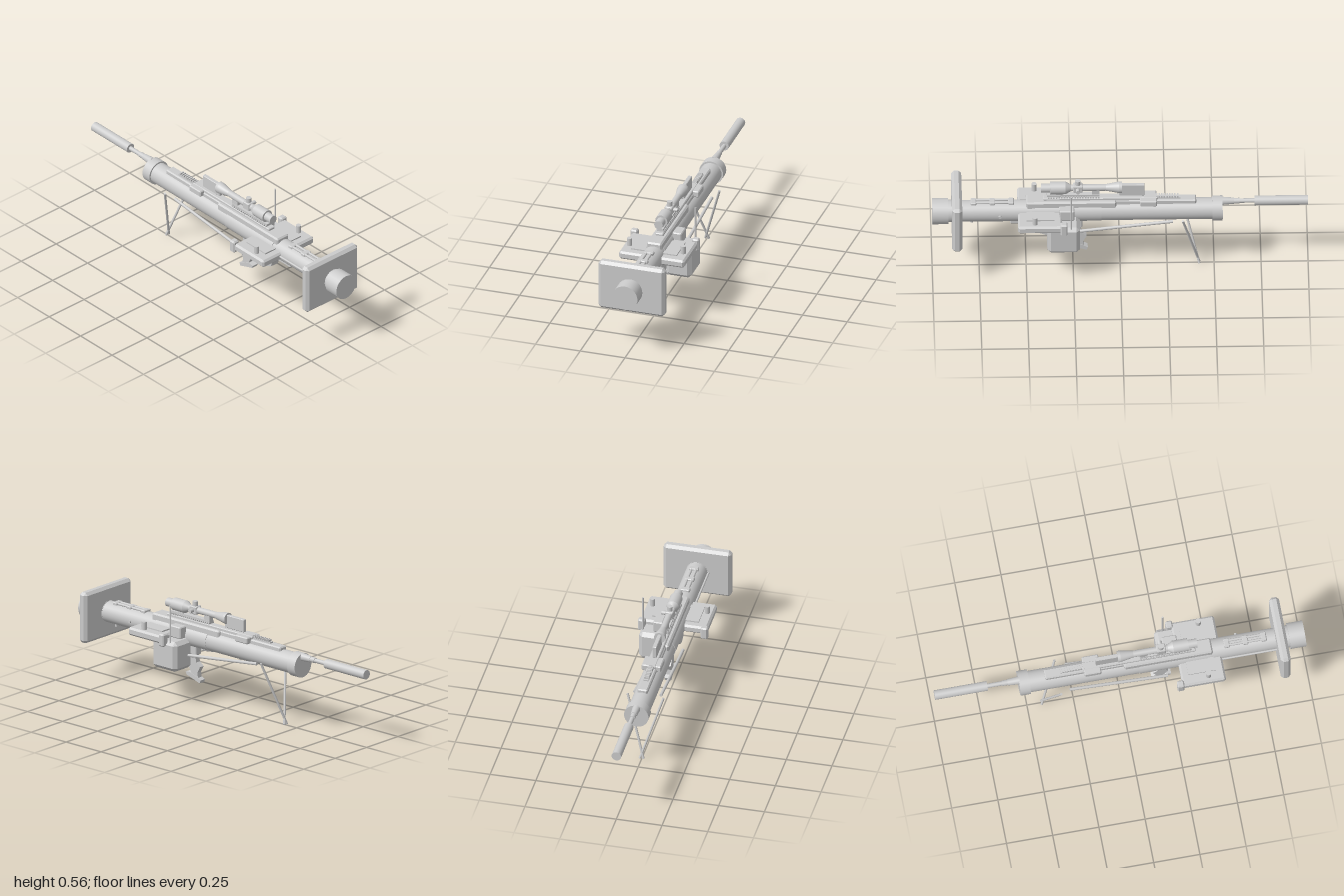
import * as THREE from 'three';
import { ConvexGeometry } from 'three/addons/geometries/ConvexGeometry.js';

const mat = new THREE.MeshStandardMaterial({ color: 0xcccccc });

export function createModel() {
  const root = new THREE.Group();

  const add = (name, geo) => {
    const m = new THREE.Mesh(geo, mat);
    m.name = name;
    root.add(m);
    return m;
  };

  // Box from min/max ranges; with c > 0 every edge is chamfered
  const box = (name, [x0, x1], [y0, y1], [z0, z1], c = 0) => {
    const h = [(x1 - x0) / 2, (y1 - y0) / 2, (z1 - z0) / 2];
    let geo;
    if (c > 0) {
      const pts = [];
      for (const sx of [-1, 1]) for (const sy of [-1, 1]) for (const sz of [-1, 1])
        for (let full = 0; full < 3; full++) {
          const r = h.map((v, i) => (i === full ? v : v - c));
          pts.push(new THREE.Vector3(sx * r[0], sy * r[1], sz * r[2]));
        }
      geo = new ConvexGeometry(pts);
    } else geo = new THREE.BoxGeometry(h[0] * 2, h[1] * 2, h[2] * 2);
    const m = add(name, geo);
    m.position.set((x0 + x1) / 2, (y0 + y1) / 2, (z0 + z1) / 2);
    return m;
  };

  // Round bar between two points, r0 at the start and r1 at the end
  const rod = (name, a, b, r0, r1 = r0, sides = 28) => {
    const p = new THREE.Vector3(...a), q = new THREE.Vector3(...b);
    const d = q.clone().sub(p);
    const m = add(name, new THREE.CylinderGeometry(r1, r0, d.length(), sides));
    m.position.copy(p).add(q).multiplyScalar(0.5);
    m.quaternion.setFromUnitVectors(new THREE.Vector3(0, 1, 0), d.normalize());
    return m;
  };
  const along = (name, y, z0, z1, r0, r1 = r0) => rod(name, [0, y, z0], [0, y, z1], r0, r1);

  // Side outline given as [z, y] pairs, extruded across x
  const profile = (name, pts, width) => {
    const shape = new THREE.Shape(pts.map(([z, y]) => new THREE.Vector2(-z, y)));
    const geo = new THREE.ExtrudeGeometry(shape, { depth: width, bevelEnabled: false });
    geo.translate(0, 0, -width / 2).rotateY(Math.PI / 2);
    return add(name, geo);
  };

  // Main tube, end collars and shoulder plate
  along('mainTube', 0.36, 0.92, -0.5, 0.058);
  along('rearCap', 0.36, 1.0, 0.915, 0.07);
  along('capNeck', 0.36, 0.92, 0.84, 0.06);
  along('frontCollar', 0.36, -0.49, -0.545, 0.067);
  along('tubeSleeve', 0.36, 0.47, 0.1, 0.0605);
  box('shoulderPlate', [-0.185, 0.185], [0.218, 0.5], [0.842, 0.896], 0.015);

  // Barrel and suppressor
  along('barrelBase', 0.407, -0.54, -0.605, 0.022, 0.017);
  along('barrel', 0.407, -0.6, -0.73, 0.012);
  along('barrelStep', 0.407, -0.6, -0.635, 0.015);
  along('suppressor', 0.407, -0.715, -1.0, 0.026);

  // Receiver and top rail
  box('receiver', [-0.042, 0.042], [0.35, 0.437], [0.02, 0.5], 0.008);
  box('topRail', [-0.027, 0.027], [0.4, 0.435], [-0.405, 0.1], 0.006);
  box('upperRail', [-0.022, 0.022], [0.425, 0.45], [-0.2, 0.41], 0.004);
  box('frontRailStrip', [-0.013, 0.013], [0.43, 0.442], [-0.32, -0.19]);
  box('rangeBlock', [-0.05, 0.055], [0.412, 0.448], [-0.195, -0.105], 0.005);
  for (let i = 0; i < 9; i++) {
    const z = -0.31 + i * 0.014;
    box('frontRailTooth', [-0.013, 0.013], [0.44, 0.453], [z, z + 0.008]);
  }
  for (let i = 0; i < 20; i++) {
    const z = 0.11 + i * 0.014;
    box('scopeRailTooth', [-0.02, 0.02], [0.448, 0.458], [z, z + 0.008]);
  }
  box('scopeRail', [-0.016, 0.016], [0.456, 0.468], [0.11, 0.39]);

  // Scope with mounts, turrets and shade
  const sy = 0.505;
  const scope = [[0, -0.42], [0.024, -0.42], [0.024, -0.372], [0.034, -0.372], [0.034, -0.29],
    [0.018, -0.262], [0.018, -0.075], [0.031, -0.005], [0.031, 0.01], [0, 0.01]];
  // Each segment is its own lathe so that the steps stay sharp
  for (let i = 0; i + 1 < scope.length; i++) {
    const pair = [scope[i], scope[i + 1]].map(([r, z]) => new THREE.Vector2(r, z));
    const g = new THREE.LatheGeometry(pair, 28).rotateX(-Math.PI / 2);
    add('scopeBody', g).position.y = sy;
  }
  box('scopeShade', [-0.011, 0.011], [0.455, 0.526], [-0.13, 0.005], 0.003);
  rod('topTurret', [0, 0.51, 0.225], [0, 0.552, 0.225], 0.015);
  rod('sideTurret', [0, 0.505, 0.225], [0.045, 0.505, 0.225], 0.011);
  box('turretBlock', [-0.022, 0.022], [0.483, 0.527], [0.2, 0.25], 0.004);
  for (const z of [0.13, 0.32]) box('scopeMount', [-0.014, 0.014], [0.46, 0.5], [z - 0.02, z + 0.02]);

  // Rear top latch and tube fittings
  for (const s of [-1, 1]) rod('rearLatchBar', [s * 0.013, 0.421, 0.57], [s * 0.013, 0.421, 0.77], 0.007, 0.007, 12);
  for (const z of [0.58, 0.68, 0.78]) box('rearLatchBlock', [-0.025, 0.025], [0.405, 0.428], [z - 0.015, z + 0.015], 0.004);
  rod('sideRod', [-0.063, 0.36, 0.54], [-0.063, 0.36, 0.85], 0.006, 0.006, 12);
  rod('sideBolt', [0.05, 0.36, 0.64], [0.066, 0.36, 0.64], 0.008, 0.008, 12);
  box('lowerBlock', [-0.025, 0.025], [0.288, 0.32], [0.48, 0.585], 0.005);
  rod('slingStud', [0, 0.31, 0.79], [0, 0.286, 0.79], 0.008, 0.008, 12);

  // Control trays on both sides
  for (const s of [-1, 1]) {
    const span = (a, b) => (s > 0 ? [a, b] : [-b, -a]);
    box('tray', span(0.04, 0.183), [0.336, 0.38], [0.31, 0.545], 0.01);
    box('trayPanel', span(0.05, 0.127), [0.37, 0.387], [0.35, 0.5]);
    rod('trayKnob', [s * 0.15, 0.37, 0.455], [s * 0.15, 0.423, 0.455], 0.014);
    box('trayLug', span(0.152, 0.191), [0.325, 0.395], [0.282, 0.32], 0.007);
  }

  // Side equipment box with aerial
  box('equipmentBox', [0.03, 0.171], [0.19, 0.355], [0.215, 0.39], 0.02);
  box('sideModule', [0.045, 0.098], [0.355, 0.42], [0.245, 0.325], 0.005);
  rod('aerial', [0.156, 0.33, 0.263], [0.156, 0.557, 0.263], 0.0045, 0.0045, 10);

  // Magazine well, grip and foot
  profile('magazineWell', [[0.455, 0.32], [0.45, 0.295], [0.43, 0.225], [0.39, 0.21], [0.36, 0.22], [0.3, 0.29], [0.3, 0.32]], 0.05);
  box('gripHousing', [-0.022, 0.022], [0.255, 0.33], [0.2, 0.4], 0.005);
  profile('grip', [[0.27, 0.27], [0.25, 0.215], [0.262, 0.195], [0.235, 0.14], [0.192, 0.13], [0.197, 0.16], [0.178, 0.195], [0.205, 0.215], [0.215, 0.27]], 0.03);
  profile('gripFoot', [[0.278, 0.15], [0.272, 0.135], [0.178, 0.105], [0.172, 0.122], [0.2, 0.136], [0.25, 0.154]], 0.036);

  // Long side struts and crossed bipod legs
  for (const s of [-1, 1]) {
    rod('sideStrut', [s * 0.072, 0.328, -0.28], [s * 0.066, 0.262, 0.25], 0.0085, 0.0085, 12);
    rod('bipodLeg', [s * 0.098, 0.348, -0.332], [s * -0.01, 0.003, -0.421], 0.0065, 0.0065, 12);
  }
  return root;
}
